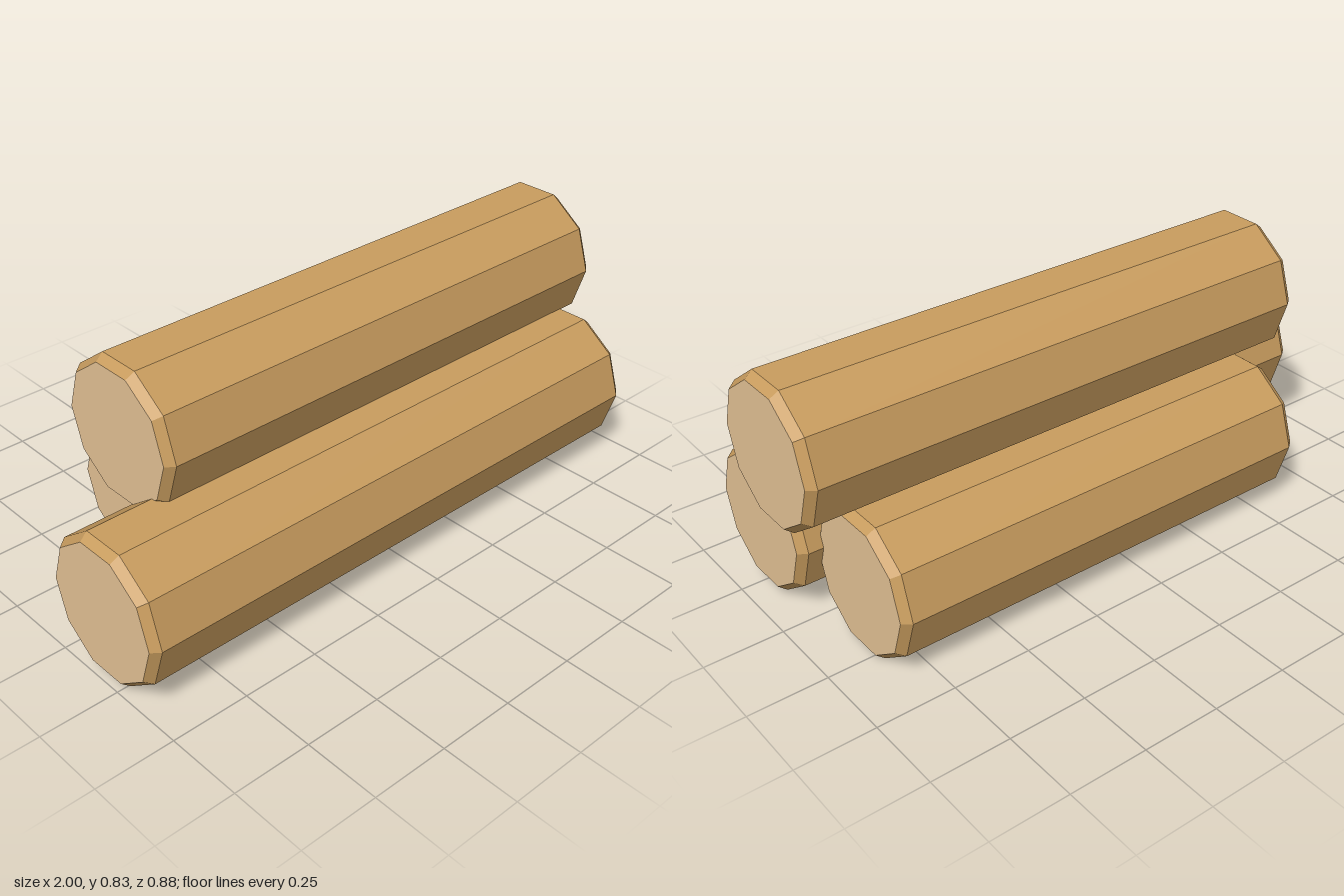
import * as THREE from 'three';

const SIDES = 10;
const RADIUS = 0.2335;
const CAP_RADIUS = 0.2125;
const BEVEL = 0.027;

export function createModel() {
  const bark = new THREE.MeshStandardMaterial({ name: 'bark', color: 0xc89c5e, flatShading: true });
  const cutWood = new THREE.MeshStandardMaterial({ name: 'cutWood', color: 0xe3c194, flatShading: true });

  // One ten-sided log along x, with bevelled rims and pale cut ends
  function makeLog(name, x0, x1, y, z) {
    const log = new THREE.Group();
    log.name = name;
    const half = (x1 - x0) / 2;

    const profile = [
      [CAP_RADIUS, -half],
      [RADIUS, -half + BEVEL],
      [RADIUS, half - BEVEL],
      [CAP_RADIUS, half],
    ].map(([r, h]) => new THREE.Vector2(r, h));
    const trunk = new THREE.Mesh(new THREE.LatheGeometry(profile, SIDES).rotateZ(-Math.PI / 2), bark);
    trunk.name = 'trunk';
    log.add(trunk);

    for (const side of [-1, 1]) {
      const end = new THREE.Mesh(
        new THREE.CircleGeometry(CAP_RADIUS, SIDES).rotateY(side * Math.PI / 2), cutWood);
      end.name = side > 0 ? 'leftCutEnd' : 'rightCutEnd';
      end.position.x = side * half;
      log.add(end);
    }

    log.position.set((x0 + x1) / 2, y, z);
    return log;
  }

  const model = new THREE.Group();
  model.name = 'logStack';
  model.add(
    makeLog('frontLog', -1, 0.935, 0.247, 0.2065),
    makeLog('backLog', -0.61, 0.86, 0.222, -0.2065),
    makeLog('topLog', -0.76, 1, 0.603, -0.0135),
  );
  return model;
}
